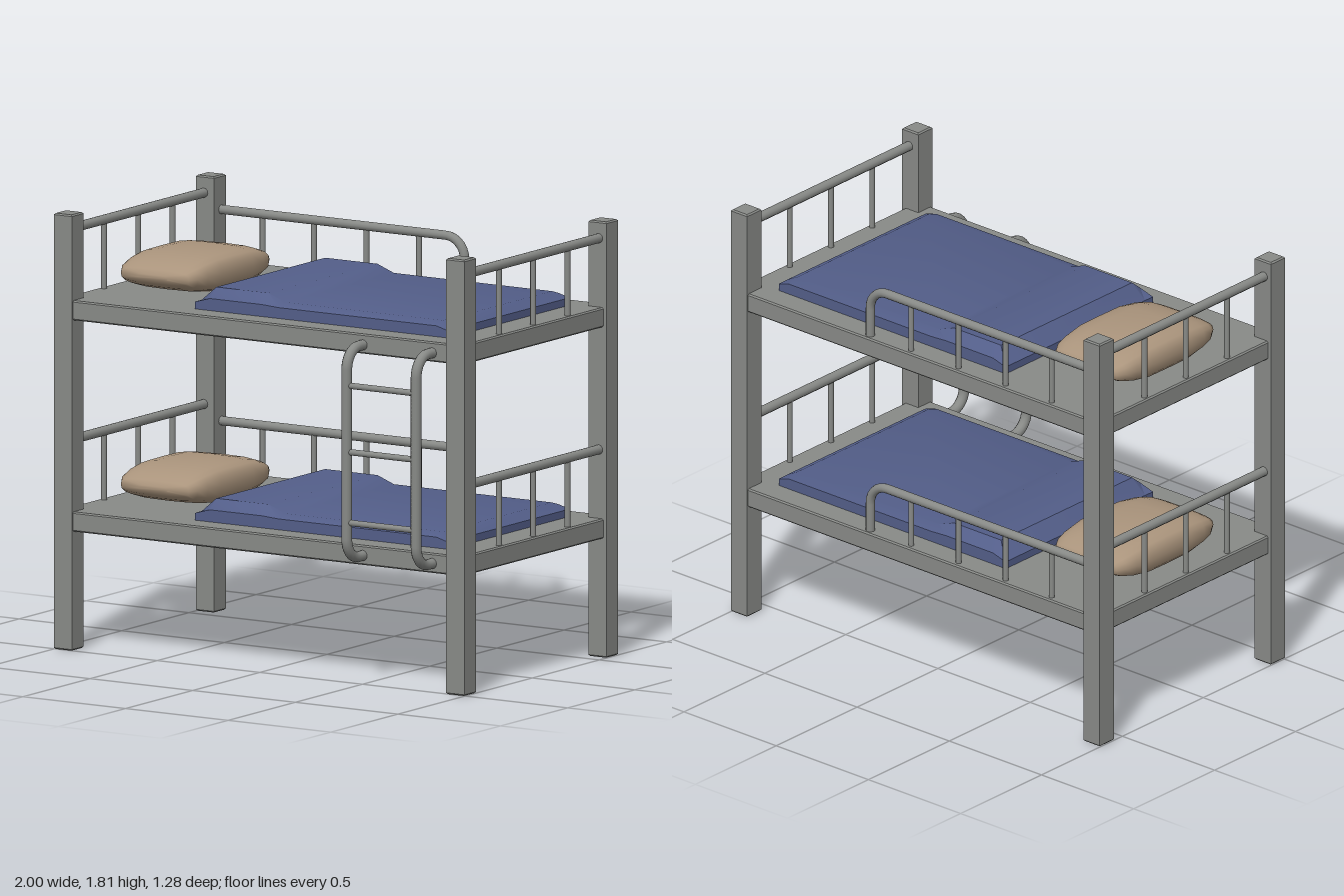
import * as THREE from 'three';
import { toCreasedNormals } from 'three/addons/utils/BufferGeometryUtils.js';

const mat = (name, color, side = THREE.FrontSide) => {
  const m = new THREE.MeshStandardMaterial({ color, side });
  m.name = name;
  return m;
};

// Box with chamfered edges, spanning the given ranges
function chamferBox(x0, x1, y0, y1, z0, z1, b) {
  const w = (x1 - x0) / 2 - b, d = (z1 - z0) / 2 - b;
  const s = new THREE.Shape([[-w, -d], [w, -d], [w, d], [-w, d]].map(p => new THREE.Vector2(...p)));
  const g = new THREE.ExtrudeGeometry(s, {
    depth: y1 - y0 - 2 * b, bevelEnabled: true, bevelSize: b, bevelThickness: b, bevelSegments: 1,
  });
  g.rotateX(-Math.PI / 2);
  g.translate((x0 + x1) / 2, y0 + b, (z0 + z1) / 2);
  return g;
}

// Closed skin over a list of rings, each a list of [x, y, z]
function loft(rings, crease) {
  const n = rings[0].length, index = [], last = (rings.length - 1) * n;
  for (let s = 0; s < rings.length - 1; s++) {
    for (let i = 0; i < n; i++) {
      const a = s * n + i, b = s * n + (i + 1) % n;
      index.push(a, b, b + n, a, b + n, a + n);
    }
  }
  for (let i = 1; i < n - 1; i++) {
    index.push(0, i + 1, i, last, last + i, last + i + 1);
  }
  const g = new THREE.BufferGeometry();
  g.setAttribute('position', new THREE.Float32BufferAttribute(rings.flat(2), 3));
  g.setIndex(index);
  return toCreasedNormals(g, crease);
}

// Path through points with rounded corners of radius r
function roundedPath(points, r) {
  const p = points.map(q => new THREE.Vector3(...q));
  const path = new THREE.CurvePath();
  let from = p[0];
  for (let i = 1; i < p.length - 1; i++) {
    const a = p[i].clone().add(p[i - 1].clone().sub(p[i]).setLength(r));
    const b = p[i].clone().add(p[i + 1].clone().sub(p[i]).setLength(r));
    const k = 0.45; // handle length that makes the bend nearly circular
    path.add(new THREE.LineCurve3(from, a));
    path.add(new THREE.CubicBezierCurve3(a, a.clone().lerp(p[i], 1 - k), b.clone().lerp(p[i], 1 - k), b));
    from = b;
  }
  path.add(new THREE.LineCurve3(from, p[p.length - 1]));
  return path;
}

export function createModel() {
  const metal = mat('grey metal', 0x888a87, THREE.DoubleSide);
  const blue = mat('blue blanket', 0x535e89);
  const beige = mat('beige pillow', 0xaa947c);
  const model = new THREE.Group();
  model.name = 'bunkBed';

  const add = (parent, name, geometry, material) => {
    const m = new THREE.Mesh(geometry, material);
    m.name = name;
    parent.add(m);
    return m;
  };
  // Straight round bar between two points
  const bar = (parent, name, a, b, r) => {
    const curve = new THREE.LineCurve3(new THREE.Vector3(...a), new THREE.Vector3(...b));
    return add(parent, name, new THREE.TubeGeometry(curve, 1, r, 12), metal);
  };
  const bentBar = (parent, name, points, bend, r) =>
    add(parent, name, new THREE.TubeGeometry(roundedPath(points, bend), 64, r, 12), metal);

  // Corner posts
  for (const sx of [-1, 1]) {
    for (const z of [-0.64, 0.418]) {
      const x = sx < 0 ? -1 : 0.912;
      add(model, 'post', chamferBox(x, x + 0.088, 0, 1.805, z, z + 0.088, 0.006), metal);
    }
  }

  // Blanket: stations along x as [x, edge height, top height]
  const blanketStations = [
    [-0.39, 0.03, 0.031], [-0.32, 0.05, 0.09], [-0.065, 0.05, 0.09],
    [0.015, 0.045, 0.06], [0.785, 0.045, 0.06], [0.84, 0.03, 0.031],
  ];
  const zb = -0.525, zf = 0.385;
  const blanketGeometry = loft(blanketStations.map(([x, edge, top]) => [
    [x, 0, zb], [x, edge, zb], [x, top, zb + 0.05],
    [x, top, zf - 0.05], [x, edge, zf], [x, 0, zf],
  ]), 0.6);

  // Pillow: stations along z as [position, width, thickness], all as fractions
  const half = [[1, 0.35, 0.12], [0.95, 0.8, 0.36], [0.84, 0.9, 0.58], [0.66, 0.96, 0.8], [0.38, 1, 0.98]];
  const pillowStations = [
    ...half.map(([t, w, h]) => [-t, w, h]), [0, 1, 1], ...half.slice().reverse(),
  ];
  const soften = v => Math.sign(v) * Math.abs(v) ** 0.55;
  const pillowGeometry = loft(pillowStations.map(([t, w, h]) =>
    Array.from({ length: 20 }, (_, i) => {
      const a = i / 20 * Math.PI * 2;
      return [-0.69 + 0.208 * w * soften(Math.cos(a)), 0.08 + 0.082 * h * soften(Math.sin(a)), -0.073 + 0.315 * t];
    })), 1.2);

  // Two identical bunks
  for (const [name, y] of [['lowerBunk', 0.575], ['upperBunk', 1.45]]) {
    const bunk = new THREE.Group();
    bunk.name = name;
    bunk.position.y = y;
    model.add(bunk);
    add(bunk, 'deck', chamferBox(-0.985, 0.985, -0.082, 0, -0.635, 0.498, 0.006), metal);
    add(bunk, 'blanket', blanketGeometry, blue);
    add(bunk, 'pillow', pillowGeometry, beige);

    // End rails
    for (const x of [-0.962, 0.962]) {
      bar(bunk, 'endRail', [x, 0.285, -0.58], [x, 0.285, 0.45], 0.02);
      for (const z of [-0.32, -0.065, 0.19]) {
        bar(bunk, 'endRailSpindle', [x, -0.01, z], [x, 0.285, z], 0.012);
      }
    }

    // Back guard rail, bent down to the deck
    const zr = -0.606;
    bentBar(bunk, 'guardRail', [[-0.93, 0.213, zr], [0.274, 0.213, zr], [0.274, -0.01, zr]], 0.09, 0.019);
    for (const x of [-0.71, -0.46, -0.205, 0.052]) {
      bar(bunk, 'guardRailSpindle', [x, -0.01, zr], [x, 0.213, zr], 0.012);
    }
  }

  // Ladder
  const ladder = new THREE.Group();
  ladder.name = 'ladder';
  model.add(ladder);
  for (const x of [0.5, 0.838]) {
    bentBar(ladder, 'ladderSide',
      [[x, 1.405, 0.48], [x, 1.405, 0.617], [x, 0.533, 0.617], [x, 0.533, 0.48]], 0.085, 0.022);
  }
  for (const y of [0.687, 0.98, 1.255]) {
    bar(ladder, 'ladderRung', [0.5, y, 0.617], [0.838, y, 0.617], 0.013);
  }
  return model;
}
